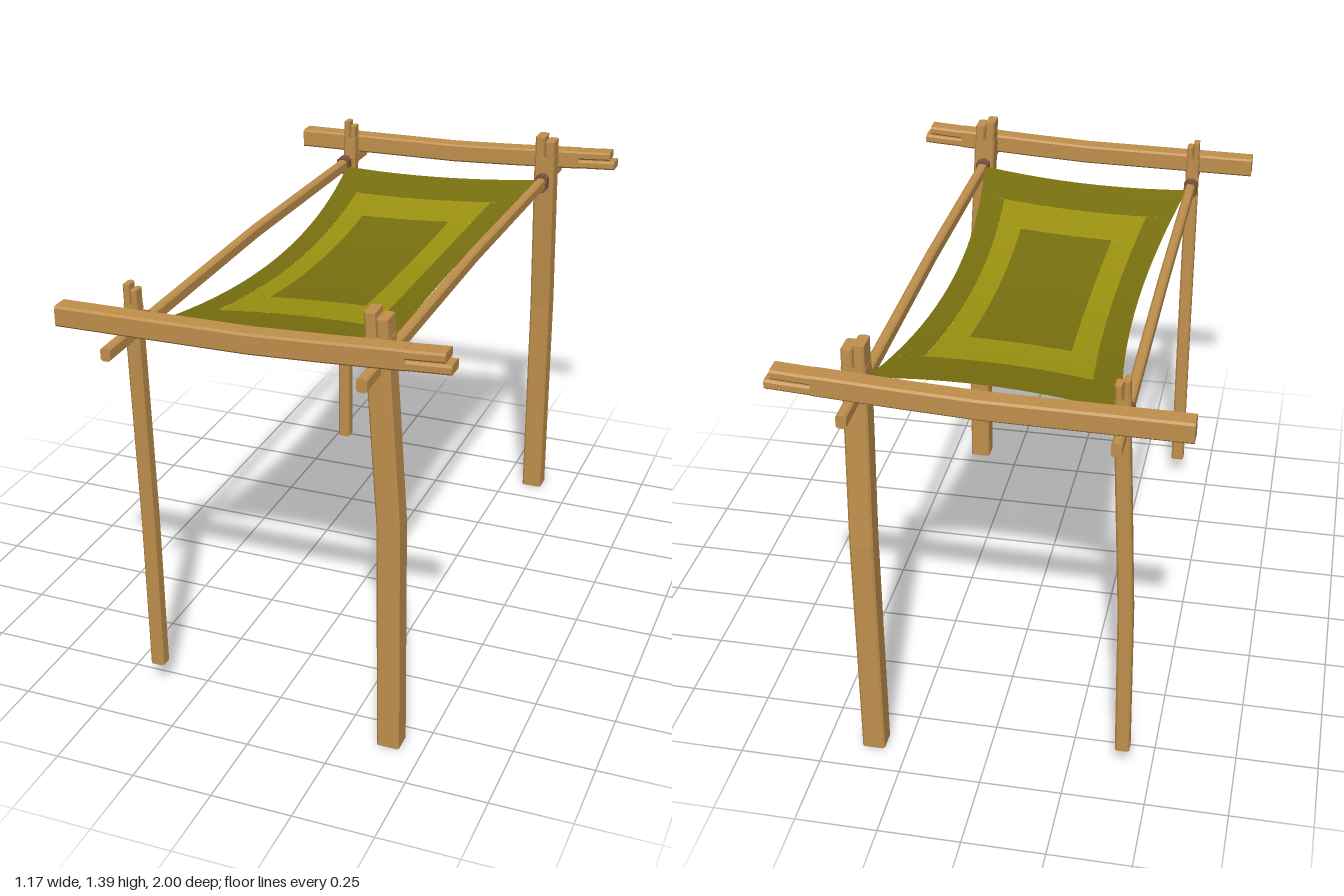
import * as THREE from 'three';

const wood = new THREE.MeshStandardMaterial({ color: 0xbf8f4c });
wood.name = 'wood';
const rope = new THREE.MeshStandardMaterial({ color: 0x7c5440 });
rope.name = 'rope';
const olive = new THREE.MeshStandardMaterial({ color: 0x78700f, side: THREE.DoubleSide });
olive.name = 'dark olive cloth';
const lime = new THREE.MeshStandardMaterial({ color: 0x9c9210, side: THREE.DoubleSide });
lime.name = 'light olive cloth';

// Chamfered timber lofted through points along axis k (0 x, 1 y, 2 z); size = [x, y, z]
function loft(name, k, points, size, mat = wood, chamfer = 0.006) {
  const a = (k + 1) % 3, b = (k + 2) % 3;
  const ha = size[a] / 2, hb = size[b] / 2, c = chamfer;
  const ring = [[ha, c - hb], [ha, hb - c], [ha - c, hb], [c - ha, hb],
    [-ha, hb - c], [-ha, c - hb], [c - ha, -hb], [ha - c, -hb]];
  const pos = [], idx = [], n = ring.length, last = (points.length - 1) * n;
  for (const p of points) {
    for (const [u, v] of ring) {
      const q = [...p];
      q[a] += u;
      q[b] += v;
      pos.push(...q);
    }
  }
  for (let i = 0; i < last; i += n) {
    for (let j = 0; j < n; j++) {
      const m = (j + 1) % n;
      idx.push(i + j, i + m, i + n + m, i + j, i + n + m, i + n + j);
    }
  }
  for (let j = 1; j < n - 1; j++) {
    idx.push(0, j + 1, j, last, last + j, last + j + 1);
  }
  const indexed = new THREE.BufferGeometry();
  indexed.setAttribute('position', new THREE.Float32BufferAttribute(pos, 3));
  indexed.setIndex(idx);
  const geo = indexed.toNonIndexed();
  geo.computeVertexNormals();
  const mesh = new THREE.Mesh(geo, mat);
  mesh.name = name;
  return mesh;
}

// Timber whose far end is cracked into two prongs side by side along axis s
function crackedTimber(name, k, points, size, s, crack, shorter) {
  const group = new THREE.Group();
  group.name = name;
  const end = points[points.length - 1], before = points[points.length - 2];
  const t = 1 - crack / (end[k] - before[k]);
  const root = end.map((e, i) => before[i] + (e - before[i]) * t);
  group.add(loft(name + 'Body', k, [...points.slice(0, -1), root], size));
  for (const side of [-1, 1]) {
    const prong = [...size];
    prong[s] = size[s] / 2 - 0.003;
    const from = [...root], to = [...end];
    from[s] += side * size[s] / 4;
    to[s] += side * size[s] / 4;
    if (side > 0) to[k] -= shorter;
    group.add(loft(name + 'Prong', k, [from, to], prong));
  }
  return group;
}

// Point on the sagging cloth, u across and v along, both -1..1
function clothPoint(u, v) {
  return [
    -0.013 + u * (0.295 + 0.065 * v * v),
    1.227 + 0.017 * u - 0.061 * (1 - v * v),
    -0.012 + v * (0.72 + 0.047 * u * u),
  ];
}

// Cloth in concentric bands, each made of rectangular patches
function cloth() {
  const group = new THREE.Group();
  group.name = 'canopy';
  const patch = (name, mat, u0, u1, v0, v1) => {
    const geo = new THREE.PlaneGeometry(1, 1, 10, 16);
    const p = geo.attributes.position;
    for (let i = 0; i < p.count; i++) {
      const u = u0 + (u1 - u0) * (p.getX(i) + 0.5);
      const v = v0 + (v1 - v0) * (0.5 - p.getY(i));
      p.setXYZ(i, ...clothPoint(u, v));
    }
    geo.computeVertexNormals();
    const mesh = new THREE.Mesh(geo, mat);
    mesh.name = name;
    group.add(mesh);
  };
  const band = (name, mat, U, V, u, v) => {
    patch(name, mat, -U, U, -V, -v);
    patch(name, mat, -U, U, v, V);
    patch(name, mat, -U, -u, -v, v);
    patch(name, mat, u, U, -v, v);
  };
  band('canopyBorder', olive, 1, 1, 0.74, 0.76);
  band('canopyBand', lime, 0.74, 0.76, 0.49, 0.53);
  patch('canopyCentre', olive, -0.49, 0.49, -0.53, 0.53);
  return group;
}

export function createModel() {
  const model = new THREE.Group();
  model.name = 'canopyFrame';

  // Four bent posts, thick on the left side and thin on the right
  const thick = [0.07, 0, 0.07], thin = [0.044, 0, 0.044];
  model.add(
    crackedTimber('frontLeftPost', 1, [[0.395, 0, 0.829], [0.391, 0.75, 0.829],
      [0.362, 1.2, 0.829], [0.352, 1.39, 0.829]], thick, 0, 0.07, 0.015),
    crackedTimber('backLeftPost', 1, [[0.355, 0, -0.875], [0.355, 0.75, -0.869],
      [0.355, 1.2, -0.838], [0.355, 1.39, -0.832]], thick, 0, 0.07, 0.015),
    crackedTimber('frontRightPost', 1, [[-0.383, 0.08, 0.807], [-0.383, 0.6, 0.81],
      [-0.383, 1.18, 0.828], [-0.383, 1.36, 0.83]], thin, 0, 0.06, 0.015),
    crackedTimber('backRightPost', 1, [[-0.412, 0.08, -0.85], [-0.408, 0.6, -0.85],
      [-0.385, 1.18, -0.85], [-0.382, 1.36, -0.85]], thin, 0, 0.06, 0.015),
  );

  // Crossbeams, rising towards the left end
  for (const [name, z] of [['frontBeam', 0.89], ['backBeam', -0.912]]) {
    model.add(crackedTimber(name, 0, [[-0.585, 1.264, z], [0, 1.271, z],
      [0.2, 1.281, z], [0.585, 1.304, z]], [0, 0.063, 0.062], 1, 0.13, 0.018));
  }

  // Side poles with rope lashings at the cloth corners
  for (const [side, x, y, z0, z1] of [['left', 0.355, 1.23, -1, 0.97], ['right', -0.385, 1.212, -0.975, 1]]) {
    model.add(loft(side + 'Pole', 2, [[x, y, z0], [x, y + 0.008, -0.5], [x, y + 0.016, 0],
      [x, y + 0.008, 0.5], [x, y, z1]], [0.03, 0.04, 0]));
    for (const z of [-0.782, 0.762]) {
      model.add(loft(side + 'Lashing', 2, [[x, y + 0.003, z - 0.014], [x, y + 0.003, z + 0.014]],
        [0.044, 0.062, 0], rope, 0.012));
    }
  }

  model.add(cloth());
  return model;
}
